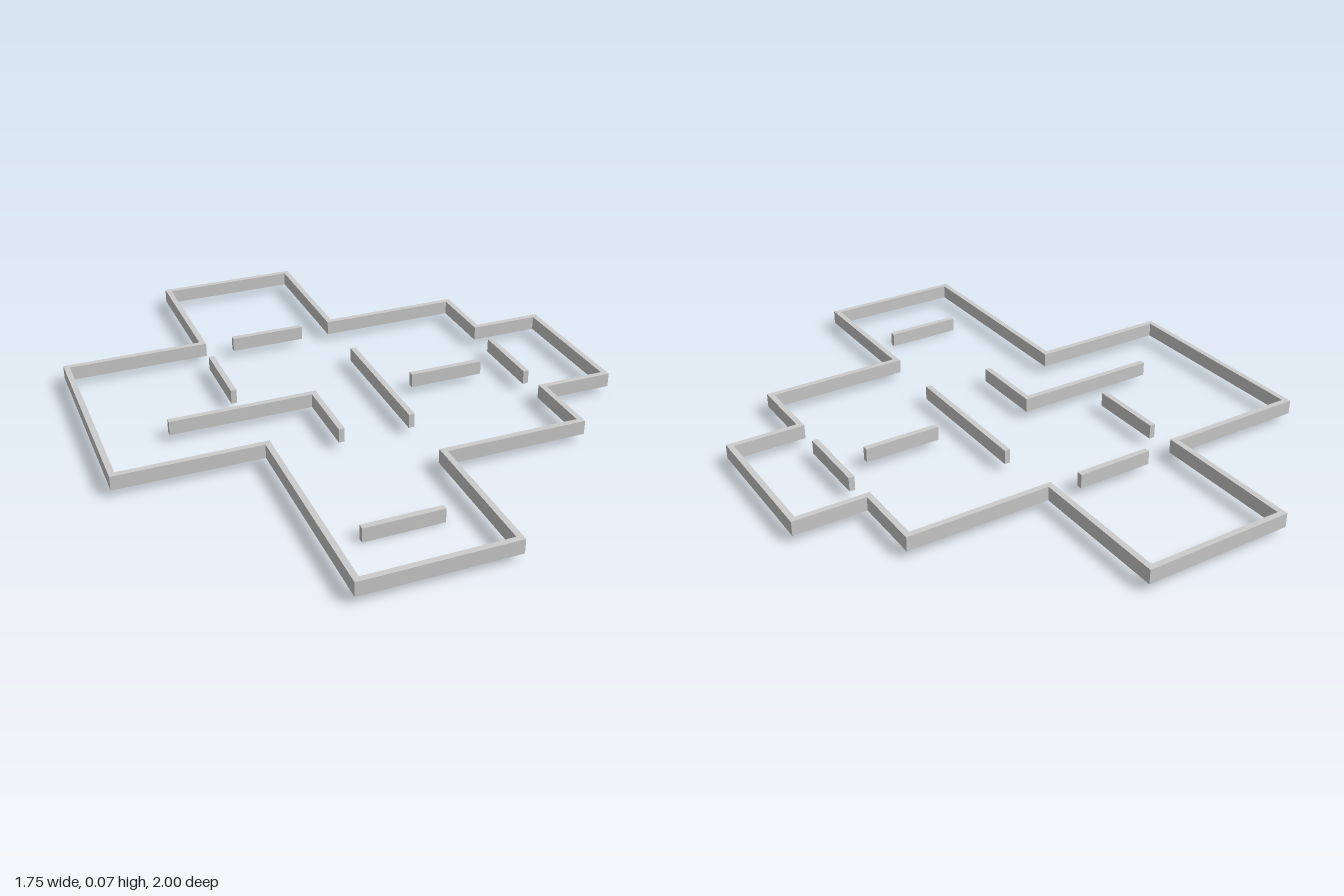
import * as THREE from 'three';

const CELL = 0.2475;   // plan grid step
const HALF = 0.01;     // half the wall thickness
const HEIGHT = 0.0495;
const BASE = 0.0247;   // height at which the walls start

const material = new THREE.MeshStandardMaterial({ color: 0xcccccc });

// Shifts a right-angled path sideways by half a wall; open ends run on by the same amount.
function offsetPath(points, side, closed) {
  const n = points.length;
  const direction = (i) => points[(i + 1) % n].clone().sub(points[i]).normalize();
  const normal = (d) => new THREE.Vector2(-d.y, d.x).multiplyScalar(side * HALF);
  return points.map((p, i) => {
    const into = closed || i > 0 ? direction((i + n - 1) % n) : null;
    const out = closed || i < n - 1 ? direction(i) : null;
    const q = p.clone();
    if (into) q.add(normal(into));
    if (out) q.add(normal(out));
    if (!into) q.addScaledVector(out, -HALF);
    if (!out) q.addScaledVector(into, HALF);
    return q;
  });
}

// Builds a wall along a path of [x, z] grid positions; closed paths run clockwise seen from above.
function wall(name, cells, base = BASE, closed = false) {
  const path = cells.map(([x, z]) => new THREE.Vector2(x * CELL, -z * CELL));
  const left = offsetPath(path, 1, closed);
  const right = offsetPath(path, -1, closed).reverse();
  const shape = new THREE.Shape(closed ? left : [...left, ...right]);
  // The hole runs opposite to the outline so that its faces point inwards
  if (closed) shape.holes.push(new THREE.Path(right));
  const geometry = new THREE.ExtrudeGeometry(shape, { depth: HEIGHT, bevelEnabled: false });
  geometry.rotateX(-Math.PI / 2);
  const mesh = new THREE.Mesh(geometry, material);
  mesh.name = name;
  mesh.position.y = base;
  return mesh;
}

export function createModel() {
  const group = new THREE.Group();
  group.name = 'floorPlanWalls';

  // Continuous outer wall
  group.add(wall('outerWall', [
    [-1.5, -4], [0.5, -4], [0.5, -2], [2.5, -2], [2.5, -1], [3.5, -1],
    [3.5, 1], [2.5, 1], [2.5, 2], [0.5, 2], [0.5, 4], [-1.5, 4],
    [-1.5, 1], [-3.5, 1], [-3.5, -2], [-1.5, -2],
  ], BASE, true));

  // Free-standing inner walls
  const innerWalls = {
    backPartition: [[-1, -2], [0, -2]],
    rightPartition: [[-1.5, -1.5], [-1.5, -0.5]],
    cornerPartition: [[-2.5, 0], [-0.5, 0], [-0.5, 1]],
    centrePartition: [[0.5, -1], [0.5, 1]],
    leftPartition: [[1, 0], [2, 0]],
    alcovePartition: [[2.5, -0.5], [2.5, 0.5]],
  };
  for (const [name, cells] of Object.entries(innerWalls)) group.add(wall(name, cells));

  // The front partition sits lower, on the ground
  group.add(wall('frontPartition', [[-1, 3], [0, 3]], 0));

  return group;
}
